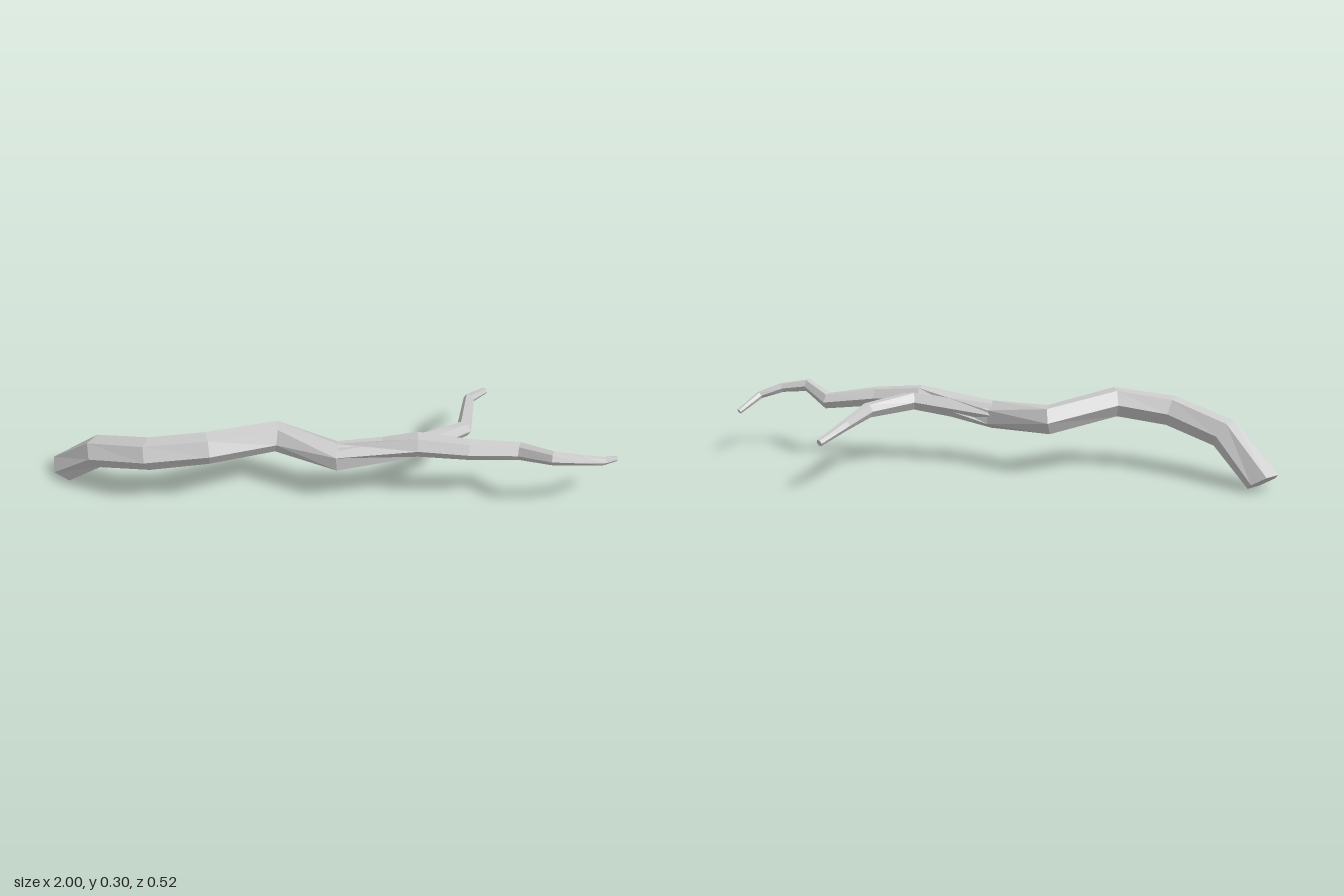
import * as THREE from 'three';

const SIDES = 6;

// Skins a chain of [x, y, z, radius, twist] stations with hexagonal rings and closes both ends
function limb(name, stations, startNormal) {
  const centres = stations.map(([x, y, z]) => new THREE.Vector3(x, y, z));
  const last = centres.length - 1;
  const direction = (a, b) => centres[b].clone().sub(centres[a]).normalize();
  const positions = [];
  const index = [];

  centres.forEach((centre, i) => {
    const tangent = new THREE.Vector3();
    if (i > 0) tangent.add(direction(i - 1, i));
    if (i < last) tangent.add(direction(i, i + 1));
    if (i === 0 && startNormal) tangent.copy(startNormal);
    tangent.normalize();
    const side = new THREE.Vector3().crossVectors(tangent, new THREE.Vector3(0, 1, 0)).normalize();
    const up = new THREE.Vector3().crossVectors(side, tangent);
    const [, , , radius, twist = 0] = stations[i];
    for (let k = 0; k < SIDES; k++) {
      const angle = (k / SIDES) * Math.PI * 2 + twist;
      const p = centre.clone()
        .addScaledVector(side, Math.cos(angle) * radius)
        .addScaledVector(up, Math.sin(angle) * radius);
      positions.push(p.x, p.y, p.z);
    }
  });

  // Bark faces between neighbouring rings
  for (let i = 0; i < last; i++) {
    for (let k = 0; k < SIDES; k++) {
      const a = i * SIDES + k;
      const b = i * SIDES + (k + 1) % SIDES;
      index.push(a, a + SIDES, b, b, a + SIDES, b + SIDES);
    }
  }
  // Cut ends
  const end = last * SIDES;
  for (let k = 1; k < SIDES - 1; k++) {
    index.push(0, k, k + 1, end, end + k + 1, end + k);
  }

  let geometry = new THREE.BufferGeometry();
  geometry.setAttribute('position', new THREE.Float32BufferAttribute(positions, 3));
  // Side, up and tangent form a frame in which ring order runs clockwise along the limb
  for (let i = 0; i < index.length; i += 3) {
    [index[i + 1], index[i + 2]] = [index[i + 2], index[i + 1]];
  }
  geometry.setIndex(index);
  geometry = geometry.toNonIndexed();
  geometry.computeVertexNormals();
  // Flip the winding when the enclosed volume comes out negative
  const pos = geometry.attributes.position;
  const [a, b, c] = [0, 1, 2].map(() => new THREE.Vector3());
  let volume = 0;
  for (let i = 0; i < pos.count; i += 3) {
    a.fromBufferAttribute(pos, i);
    b.fromBufferAttribute(pos, i + 1);
    c.fromBufferAttribute(pos, i + 2);
    volume += a.dot(b.cross(c));
  }
  if (volume < 0) {
    for (let i = 0; i < pos.count; i += 3) {
      b.fromBufferAttribute(pos, i + 1);
      c.fromBufferAttribute(pos, i + 2);
      pos.setXYZ(i + 1, c.x, c.y, c.z);
      pos.setXYZ(i + 2, b.x, b.y, b.z);
    }
    geometry.computeVertexNormals();
  }

  const material = new THREE.MeshStandardMaterial({ color: 0xcccccc, flatShading: true });
  const mesh = new THREE.Mesh(geometry, material);
  mesh.name = name;
  return mesh;
}

export function createModel() {
  const model = new THREE.Group();
  model.name = 'fallenBranch';

  // Thick crooked stem tapering to a hooked tip
  model.add(limb('mainStem', [
    [-0.95, 0.031, 0.003, 0.06],
    [-0.81, 0.173, 0.103, 0.057],
    [-0.62, 0.225, 0.185, 0.056],
    [-0.42, 0.25, 0.185, 0.055],
    [-0.19, 0.208, 0.06, 0.054],
    [0.03, 0.192, 0.155, 0.053, Math.PI / 6],
    [0.3, 0.248, 0.157, 0.043],
    [0.47, 0.238, 0.172, 0.036],
    [0.65, 0.218, 0.154, 0.031],
    [0.75, 0.252, 0.238, 0.024],
    [0.85, 0.24, 0.233, 0.018],
    [0.93, 0.215, 0.205, 0.014],
    [0.99, 0.168, 0.13, 0.01],
  ], new THREE.Vector3(0.4, 0.75, 0.4)));

  // Thin fork bending away to the back
  model.add(limb('sideBranch', [
    [0.03, 0.2, 0.15, 0.045],
    [0.32, 0.238, 0.138, 0.036],
    [0.468, 0.222, 0.032, 0.028],
    [0.5, 0.22, -0.155, 0.019],
    [0.567, 0.183, -0.257, 0.013],
  ]));

  return model;
}
